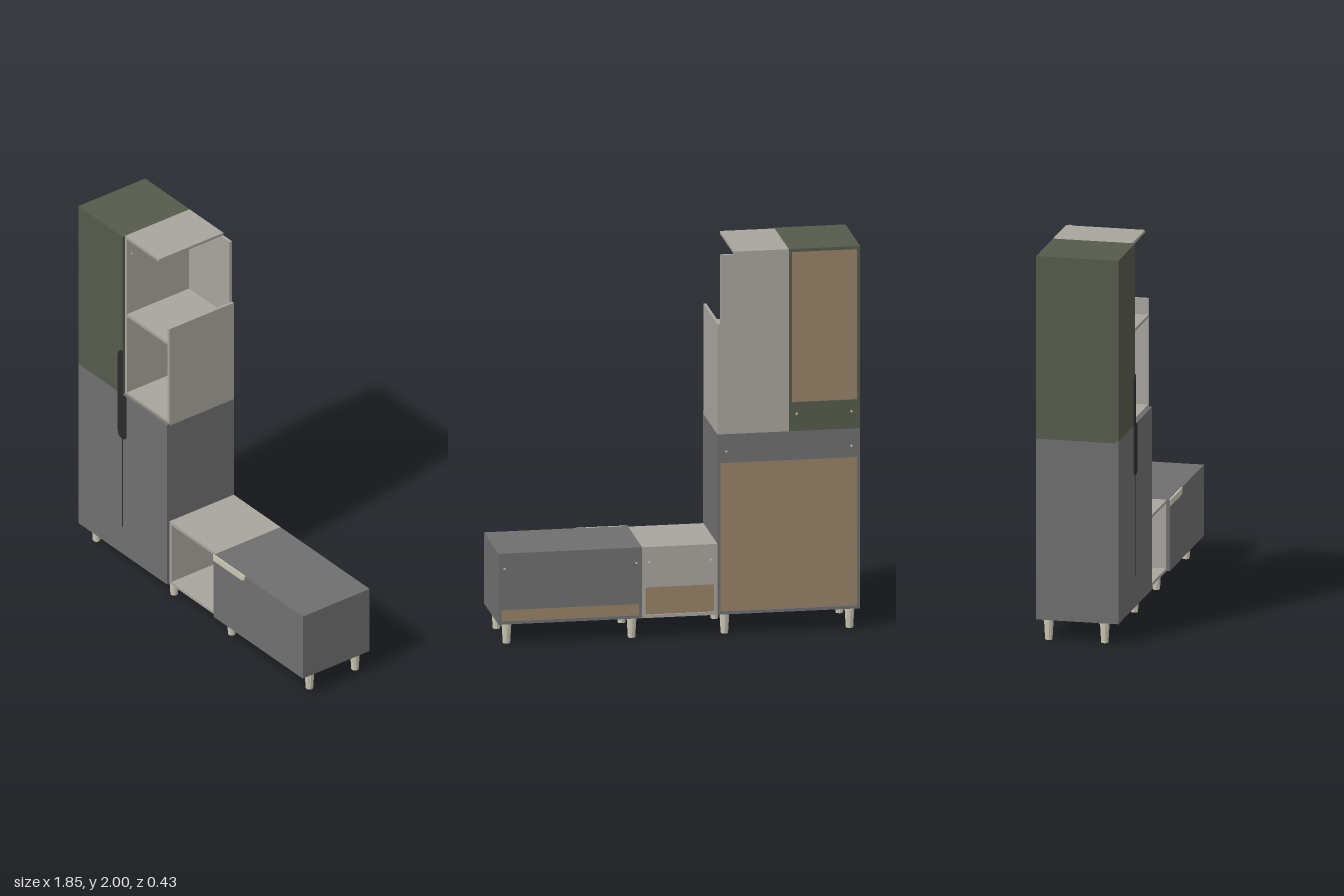
import * as THREE from 'three';

const mat = (name, color, side = THREE.FrontSide) => {
  const m = new THREE.MeshStandardMaterial({ color, side });
  m.name = name;
  return m;
};

export function createModel() {
  const grey = mat('graphite grey', 0x6f6f6f);
  const green = mat('olive green', 0x565a4c);
  const light = mat('warm light grey', 0xa8a59e);
  const brown = mat('hardboard brown', 0x988267);
  const black = mat('handle black', 0x2c2c2c);
  const cream = mat('cream', 0xcac6b5);

  const T = 0.016;                       // board thickness
  const BACK = -0.215, FRONT = 0.195, DOOR = 0.211;
  const model = new THREE.Group();
  model.name = 'wallUnit';

  const group = (name) => {
    const g = new THREE.Group();
    g.name = name;
    model.add(g);
    return g;
  };
  // Board given by its extents
  const board = (parent, name, m, x0, x1, y0, y1, z0 = BACK, z1 = FRONT) => {
    const mesh = new THREE.Mesh(new THREE.BoxGeometry(x1 - x0, y1 - y0, z1 - z0), m);
    mesh.position.set((x0 + x1) / 2, (y0 + y1) / 2, (z0 + z1) / 2);
    mesh.name = name;
    parent.add(mesh);
    return mesh;
  };
  // Four-sided box of boards, open at front and back
  const carcass = (g, m, x0, x1, y0, y1) => {
    board(g, 'leftSide', m, x1 - T, x1, y0, y1);
    board(g, 'rightSide', m, x0, x0 + T, y0, y1);
    board(g, 'bottom', m, x0 + T, x1 - T, y0, y0 + T);
    board(g, 'top', m, x0 + T, x1 - T, y1 - T, y1);
  };
  // Rear rail with a recessed hardboard sheet
  const rear = (g, m, x0, x1, rail, sheet) => {
    board(g, 'rearRail', m, x0 + T, x1 - T, rail[0], rail[1], BACK, BACK + T);
    board(g, 'backSheet', brown, x0 + T, x1 - T, sheet[0], sheet[1], BACK + 0.008, BACK + 0.013);
  };
  // Small connector cap facing the back
  const cap = (g, x, y) => {
    const c = new THREE.Mesh(new THREE.CylinderGeometry(0.006, 0.006, 0.004, 12), cream);
    c.rotation.x = Math.PI / 2;
    c.position.set(x, y, BACK);
    c.name = 'connectorCap';
    g.add(c);
  };
  const plate = (g, name, shape, m, z, depth) => {
    const p = new THREE.Mesh(
      new THREE.ExtrudeGeometry(shape, { depth, bevelEnabled: false, curveSegments: 8 }), m);
    p.position.z = z;
    p.name = name;
    g.add(p);
  };

  // Tall lower cabinet
  const base = group('tallBaseCabinet');
  carcass(base, grey, -0.925, -0.195, 0.11, 1.05);
  rear(base, grey, -0.925, -0.195, [0.9, 1.034], [0.126, 0.9]);
  board(base, 'rightDoor', grey, -0.925, -0.5605, 0.11, 1.06, FRONT, DOOR);
  board(base, 'leftDoor', grey, -0.5595, -0.195, 0.11, 1.06, FRONT, DOOR);
  board(base, 'doorSeam', black, -0.563, -0.557, 0.27, 0.8, FRONT, DOOR + 0.0005);
  for (const x of [-0.88, -0.24]) cap(base, x, 0.96);

  // Green upper cabinet
  const upper = group('upperCabinet');
  carcass(upper, green, -0.925, -0.56, 1.05, 2);
  rear(upper, green, -0.925, -0.56, [1.066, 1.2], [1.2, 1.984]);
  board(upper, 'door', green, -0.925, -0.56, 1.06, 2, FRONT, DOOR);
  for (const x of [-0.88, -0.6]) cap(upper, x, 1.14);

  // Open stepped shelf tower
  const shelf = group('openShelfTower');
  board(shelf, 'innerSide', light, -0.56, -0.56 + T, 1.05, 1.985);
  board(shelf, 'outerSide', light, -0.21, -0.195, 1.05, 1.625);
  board(shelf, 'back', light, -0.56 + T, -0.21, 1.05, 1.985, BACK, BACK + T);
  board(shelf, 'top', light, -0.56, -0.28, 1.985, 2);
  for (const y of [1.058, 1.525])
    board(shelf, 'shelf', light, -0.56 + T, -0.21, y, y + T, BACK + T, FRONT);
  for (const z of [0.165, -0.115]) {
    const s = new THREE.Mesh(new THREE.CylinderGeometry(0.008, 0.008, 0.002, 12), cream);
    s.rotation.z = Math.PI / 2;
    s.position.set(-0.56 + T + 0.0005, 1.89, z);
    s.name = 'sideScrew';
    shelf.add(s);
  }

  // Open cube between the tower and the low cabinet
  const cube = group('openCube');
  carcass(cube, light, -0.195, 0.19, 0.11, 0.48);
  rear(cube, light, -0.195, 0.19, [0.27, 0.464], [0.126, 0.27]);
  board(cube, 'backLining', light, -0.195 + T, 0.19 - T, 0.126, 0.464, BACK + T, BACK + T + 0.004);
  for (const x of [-0.16, 0.155]) cap(cube, x, 0.4);

  // Low cabinet
  const low = group('lowCabinet');
  carcass(low, grey, 0.19, 0.925, 0.11, 0.48);
  rear(low, grey, 0.19, 0.925, [0.185, 0.464], [0.126, 0.185]);
  board(low, 'door', grey, 0.19, 0.925, 0.11, 0.48, FRONT, DOOR);
  for (const x of [0.22, 0.895]) cap(low, x, 0.4);

  // Cream grip with one rounded corner
  const grip = new THREE.Shape();
  grip.moveTo(0.19, 0.481);
  grip.lineTo(0.19, 0.447);
  grip.lineTo(0.42, 0.447);
  grip.quadraticCurveTo(0.45, 0.447, 0.45, 0.481);
  plate(low, 'lowHandle', grip, cream, DOOR - 0.004, 0.008);

  // Black handle spanning both cabinets, cut away beside the open shelf
  const h = new THREE.Shape();
  h.moveTo(-0.56, 1.32);
  h.quadraticCurveTo(-0.595, 1.318, -0.595, 1.28);
  h.lineTo(-0.595, 0.835);
  h.quadraticCurveTo(-0.593, 0.8, -0.57, 0.8);
  h.lineTo(-0.55, 0.8);
  h.quadraticCurveTo(-0.527, 0.8, -0.527, 0.835);
  h.lineTo(-0.527, 1.06);
  h.lineTo(-0.56, 1.06);
  plate(base, 'tallHandle', h, black, DOOR - 0.001, 0.005);

  // Tapered faceted feet with mounting flanges
  const feet = group('feet');
  const legGeo = new THREE.CylinderGeometry(0.025, 0.019, 0.1, 10).toNonIndexed();
  legGeo.computeVertexNormals();
  const flangeGeo = new THREE.CylinderGeometry(0.029, 0.029, 0.011, 16);
  for (const x of [-0.88, -0.24, 0.235, 0.875]) {
    for (const z of [0.13, -0.16]) {
      const leg = new THREE.Mesh(legGeo, cream);
      leg.position.set(x, 0.05, z);
      leg.name = 'foot';
      const flange = new THREE.Mesh(flangeGeo, cream);
      flange.position.set(x, 0.1045, z);
      flange.name = 'footFlange';
      feet.add(leg, flange);
    }
  }
  return model;
}
